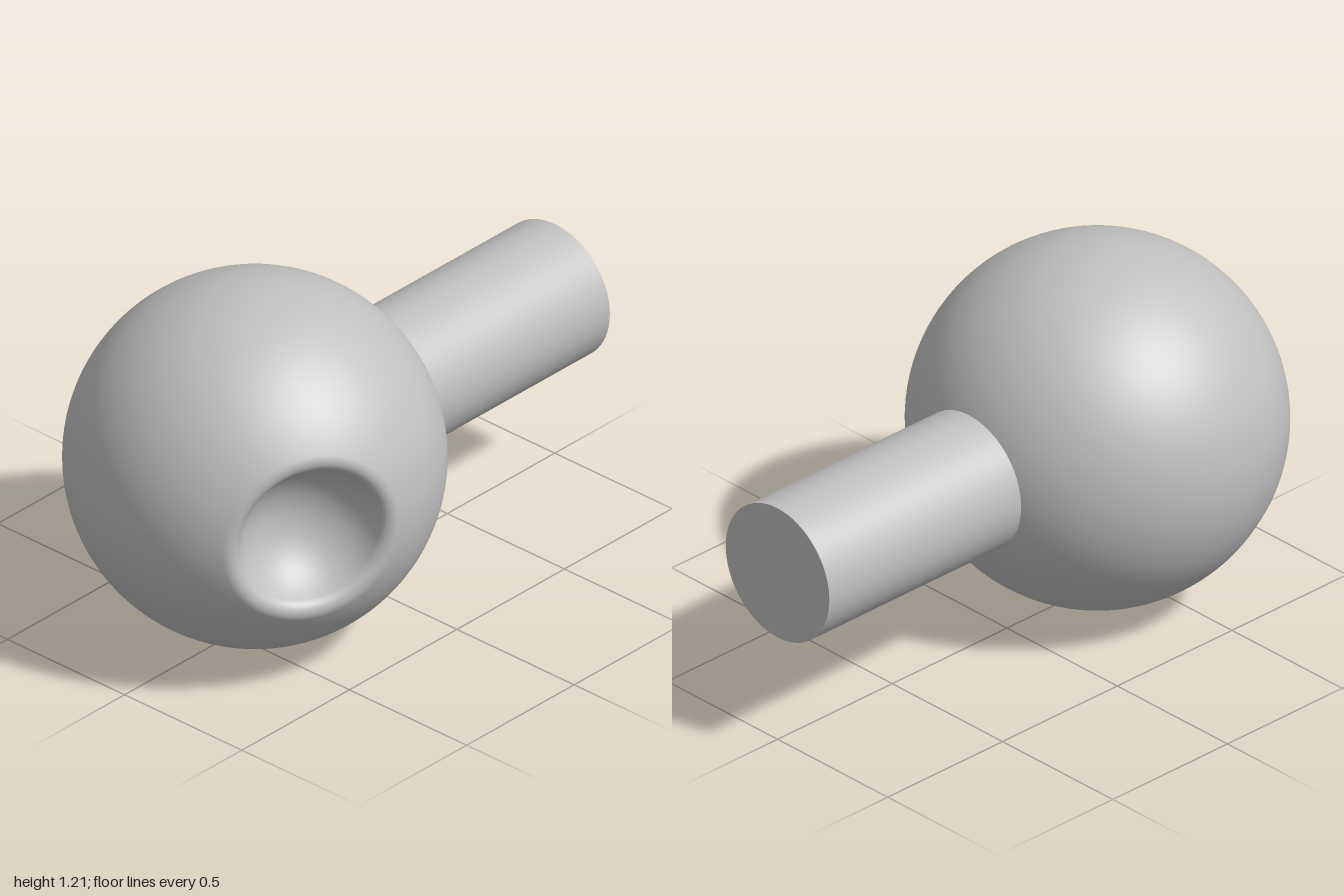
import * as THREE from 'three';

const R = 0.606; // ball radius
const SEG = 96;

// Lathe profile of a socket, from its rim down to its deepest point, about +y
function socketProfile(rimAngle, fillet) {
  const c = new THREE.Vector2(Math.sin(rimAngle), Math.cos(rimAngle)).multiplyScalar(R - fillet);
  const bowlRadius = Math.hypot(c.x, R - c.y) - fillet; // bowl is centred on the ball surface
  const points = [];
  const arc = (cx, cy, r, from, to, n, first) => {
    for (let i = first; i <= n; i++) {
      const t = from + (to - from) * i / n;
      points.push(new THREE.Vector2(Math.max(0, cx + r * Math.cos(t)), cy + r * Math.sin(t)));
    }
  };
  if (fillet > 0) arc(c.x, c.y, fillet, Math.atan2(c.y, c.x), Math.atan2(R - c.y, -c.x), 10, 0);
  arc(0, R, bowlRadius, Math.atan2(c.y - R, c.x), -Math.PI / 2, 20, fillet > 0 ? 1 : 0);
  return points;
}

// Part of the ball from a socket rim out to the great circle facing `n`
function shellGeometry(a, n, e1, e2, rimAngle) {
  const rows = 40, positions = [], normals = [], index = [];
  const u = new THREE.Vector3(), d = new THREE.Vector3();
  for (let j = 0; j <= SEG; j++) {
    const phi = j / SEG * Math.PI * 2;
    u.copy(e1).multiplyScalar(Math.cos(phi)).addScaledVector(e2, Math.sin(phi));
    const end = Math.atan2(a.dot(n), -u.dot(n));
    for (let i = 0; i <= rows; i++) {
      const t = rimAngle + (end - rimAngle) * i / rows;
      d.copy(a).multiplyScalar(Math.cos(t)).addScaledVector(u, Math.sin(t));
      positions.push(d.x * R, d.y * R, d.z * R);
      normals.push(d.x, d.y, d.z);
      if (j < SEG && i < rows) {
        const p = j * (rows + 1) + i, q = p + rows + 1;
        index.push(p, p + 1, q, q, p + 1, q + 1);
      }
    }
  }
  const g = new THREE.BufferGeometry();
  g.setAttribute('position', new THREE.Float32BufferAttribute(positions, 3));
  g.setAttribute('normal', new THREE.Float32BufferAttribute(normals, 3));
  g.setIndex(index);
  return g;
}

export function createModel() {
  const model = new THREE.Group();
  model.name = 'ballAndShaft';
  const grey = new THREE.MeshStandardMaterial({ color: 0xc0c0c0 });
  grey.name = 'grey';
  const add = (parent, name, geometry) => {
    const mesh = new THREE.Mesh(geometry, grey);
    mesh.name = name;
    parent.add(mesh);
    return mesh;
  };

  // Ball, in two halves that each surround one socket
  const ball = new THREE.Group();
  ball.name = 'ball';
  ball.position.set(-0.394, R, 0);
  model.add(ball);
  const sockets = [
    { name: 'roundedSocket', axis: new THREE.Vector3(-0.468, 0, 0.884).normalize(), rim: 0.505, fillet: 0.042 },
    { name: 'sharpSocket', axis: new THREE.Vector3(-0.525, -0.6, -0.605).normalize(), rim: 0.3, fillet: 0 },
  ];
  const up = new THREE.Vector3(0, 1, 0);
  sockets.forEach(({ name, axis, rim, fillet }, k) => {
    const n = axis.clone().sub(sockets[1 - k].axis).normalize();
    const e1 = n.clone().addScaledVector(axis, -axis.dot(n)).normalize();
    const e2 = axis.clone().cross(e1);
    add(ball, name + 'Shell', shellGeometry(axis, n, e1, e2, rim));
    const bowl = add(ball, name, new THREE.LatheGeometry(socketProfile(rim, fillet), SEG));
    // Line the bowl's segments up with the shell's rim
    bowl.quaternion.setFromRotationMatrix(new THREE.Matrix4().makeBasis(e2, axis, e1));
  });

  // Shaft along +x, starting just inside the ball
  const start = 0.16;
  const shaft = add(model, 'shaft', new THREE.CylinderGeometry(0.235, 0.235, 1 - start, 64));
  shaft.rotation.z = -Math.PI / 2;
  shaft.position.set((1 + start) / 2, R, 0);
  return model;
}
